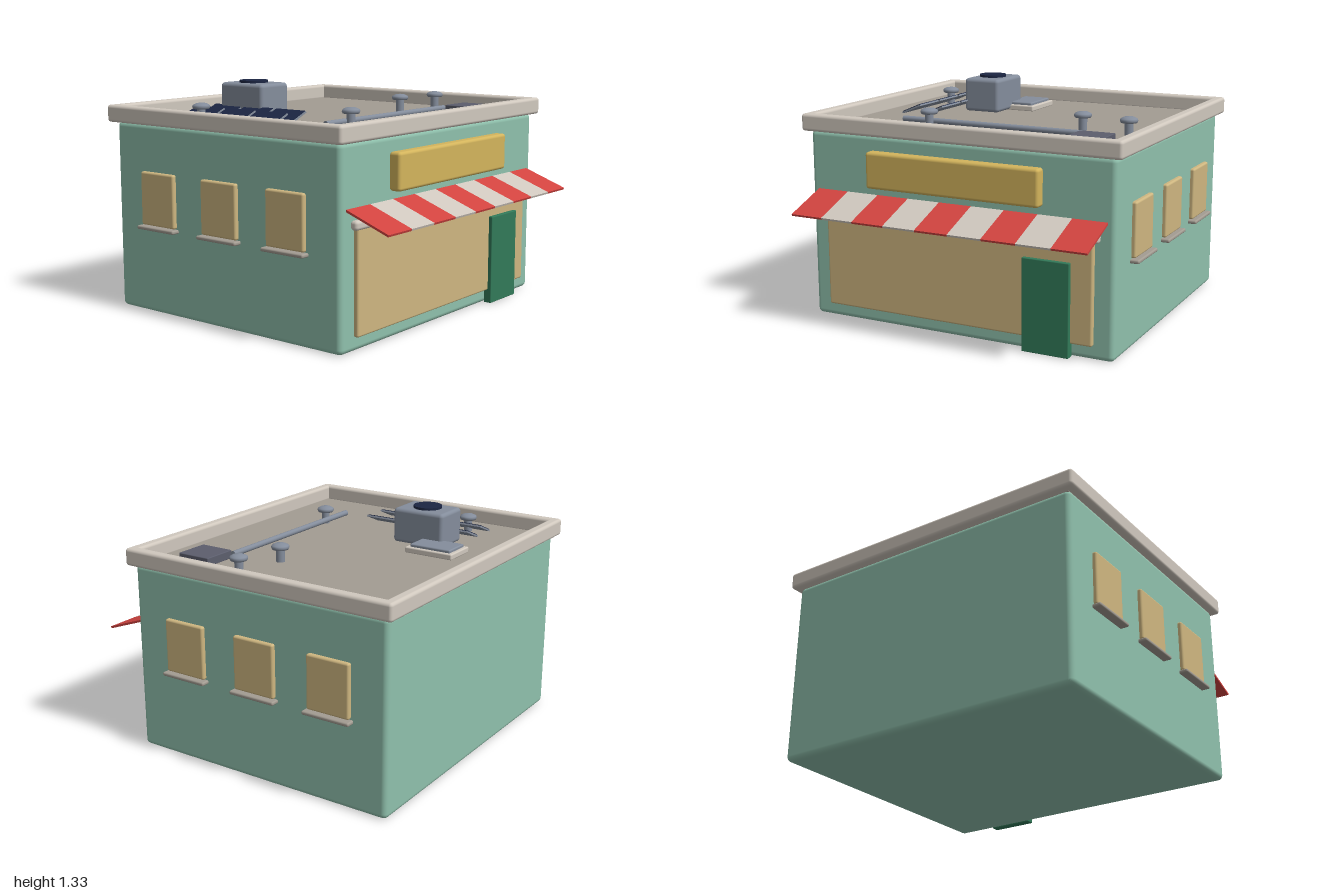
import * as THREE from 'three';
import { RoundedBoxGeometry } from 'three/addons/geometries/RoundedBoxGeometry.js';

const paint = (name, color) => {
  const m = new THREE.MeshStandardMaterial({ color });
  m.name = name;
  return m;
};

export function createModel() {
  const wall = paint('mint wall', 0x8fc0ac);
  const trim = paint('pale stone', 0xd0c8be);
  const roof = paint('roof grey', 0xa39c92);
  const red = paint('awning red', 0xd24440);
  const gold = paint('sign gold', 0xd3b45c);
  const pane = paint('window tan', 0xceb680);
  const green = paint('door green', 0x327a59);
  const metal = paint('metal grey', 0x848d9c);
  const navy = paint('panel navy', 0x1c2643);
  const slate = paint('dark slate', 0x5c5e6d);

  const model = new THREE.Group();
  model.name = 'shop';

  const add = (name, geometry, material, x = 0, y = 0, z = 0, parent = model) => {
    const mesh = new THREE.Mesh(geometry, material);
    mesh.name = name;
    mesh.position.set(x, y, z);
    parent.add(mesh);
    return mesh;
  };

  // Box given by its minimum and maximum corners, rounded when r > 0
  const block = (name, material, [x0, y0, z0], [x1, y1, z1], r = 0, parent = model) => {
    const s = [x1 - x0, y1 - y0, z1 - z0];
    const geometry = r ? new RoundedBoxGeometry(...s, 3, r) : new THREE.BoxGeometry(...s);
    return add(name, geometry, material, (x0 + x1) / 2, (y0 + y1) / 2, (z0 + z1) / 2, parent);
  };

  // Walls and roof deck
  block('walls', wall, [-0.95, 0, -0.95], [0.72, 1.105, 0.95], 0.03);
  block('roofDeck', roof, [-0.94, 1.095, -0.94], [0.7, 1.112, 0.94]);

  // Parapet: long beams front and back, short ones between
  for (const s of [-1, 1]) {
    const [z0, z1] = s > 0 ? [0.925, 0.99] : [-0.99, -0.925];
    block('parapet', trim, [-0.99, 1.1, z0], [0.755, 1.2, z1], 0.018);
  }
  for (const [x0, x1] of [[-0.99, -0.925], [0.69, 0.755]]) {
    block('parapetSide', trim, [x0, 1.1, -0.965], [x1, 1.2, 0.965], 0.018);
  }

  // Three windows with sills on the front and the back
  for (const s of [-1, 1]) {
    for (const x of [-0.6, -0.12, 0.36]) {
      const window = new THREE.Group();
      window.name = 'window';
      window.position.set(x, 0, s * 0.95);
      add('pane', new RoundedBoxGeometry(0.265, 0.31, 0.05, 3, 0.012), pane, 0, 0.675, 0, window);
      add('sill', new RoundedBoxGeometry(0.295, 0.022, 0.07, 3, 0.009), roof, 0, 0.506, s * 0.015, window);
      model.add(window);
    }
  }

  // Shop front, door and sign on the left side
  block('shopWindow', pane, [0.7, 0.08, -0.835], [0.747, 0.68, 0.838], 0.012);
  block('door', green, [0.72, 0.002, -0.71], [0.77, 0.53, -0.432], 0.005);
  block('sign', gold, [0.715, 0.81, -0.537], [0.788, 1.02, 0.537], 0.018);

  // Awning rail
  block('awningRail', trim, [0.715, 0.65, -0.87], [0.762, 0.702, 0.87], 0.018);

  // Striped awning, sloping outwards
  const awning = new THREE.Group();
  awning.name = 'awning';
  awning.position.set(0.85, 0.71, 0);
  awning.rotation.z = -Math.atan2(0.098, 0.27);
  const stripe = 1.81 / 9;
  for (let i = 0; i < 9; i++) {
    add('stripe', new THREE.BoxGeometry(0.288, 0.012, stripe), i % 2 ? trim : red,
      0, 0, (i - 4) * stripe, awning);
  }
  model.add(awning);

  // Cooling unit with fan
  block('coolingUnit', metal, [-0.575, 1.115, 0.235], [-0.245, 1.32, 0.47], 0.022);
  add('fan', new THREE.CylinderGeometry(0.084, 0.084, 0.02, 32), navy, -0.41, 1.324, 0.355);

  // Skylight
  block('skylightFrame', trim, [-0.725, 1.11, 0.08], [-0.42, 1.145, 0.29], 0.008);
  block('skylightGlass', metal, [-0.703, 1.13, 0.1], [-0.443, 1.162, 0.27], 0.008);

  // Two rows of tilted solar panels
  for (const z of [0.512, 0.668]) {
    for (const x of [-0.522, -0.28, -0.038]) {
      const panel = new THREE.Group();
      panel.name = 'solarPanel';
      panel.position.set(x, 1.155, z);
      panel.rotation.x = 0.4;
      add('panelFrame', new THREE.BoxGeometry(0.222, 0.01, 0.138), metal, 0, 0, 0, panel);
      add('panelCells', new THREE.BoxGeometry(0.214, 0.006, 0.131), navy, 0, 0.006, 0, panel);
      model.add(panel);
    }
  }

  // Mushroom vents
  const cap = new THREE.LatheGeometry(
    [[0, 1.185], [0.046, 1.185], [0.052, 1.197], [0.048, 1.208], [0.03, 1.217], [0, 1.221]]
      .map(([r, y]) => new THREE.Vector2(r, y)), 24);
  for (const [x, z] of [[0.115, -0.775], [0.06, -0.472], [0.34, 0.38], [-0.495, 0.71]]) {
    add('ventStem', new THREE.CylinderGeometry(0.025, 0.025, 0.09, 20), metal, x, 1.15, z);
    add('ventCap', cap, metal, x, 0, z);
  }

  // Roof pipe and access hatch
  const pipe = add('roofPipe', new THREE.CylinderGeometry(0.017, 0.017, 1.15, 16), metal, 0.313, 1.14, -0.005);
  pipe.rotation.x = Math.PI / 2;
  block('roofHatch', slate, [0.33, 1.11, -0.782], [0.54, 1.16, -0.572], 0.005);

  return model;
}
